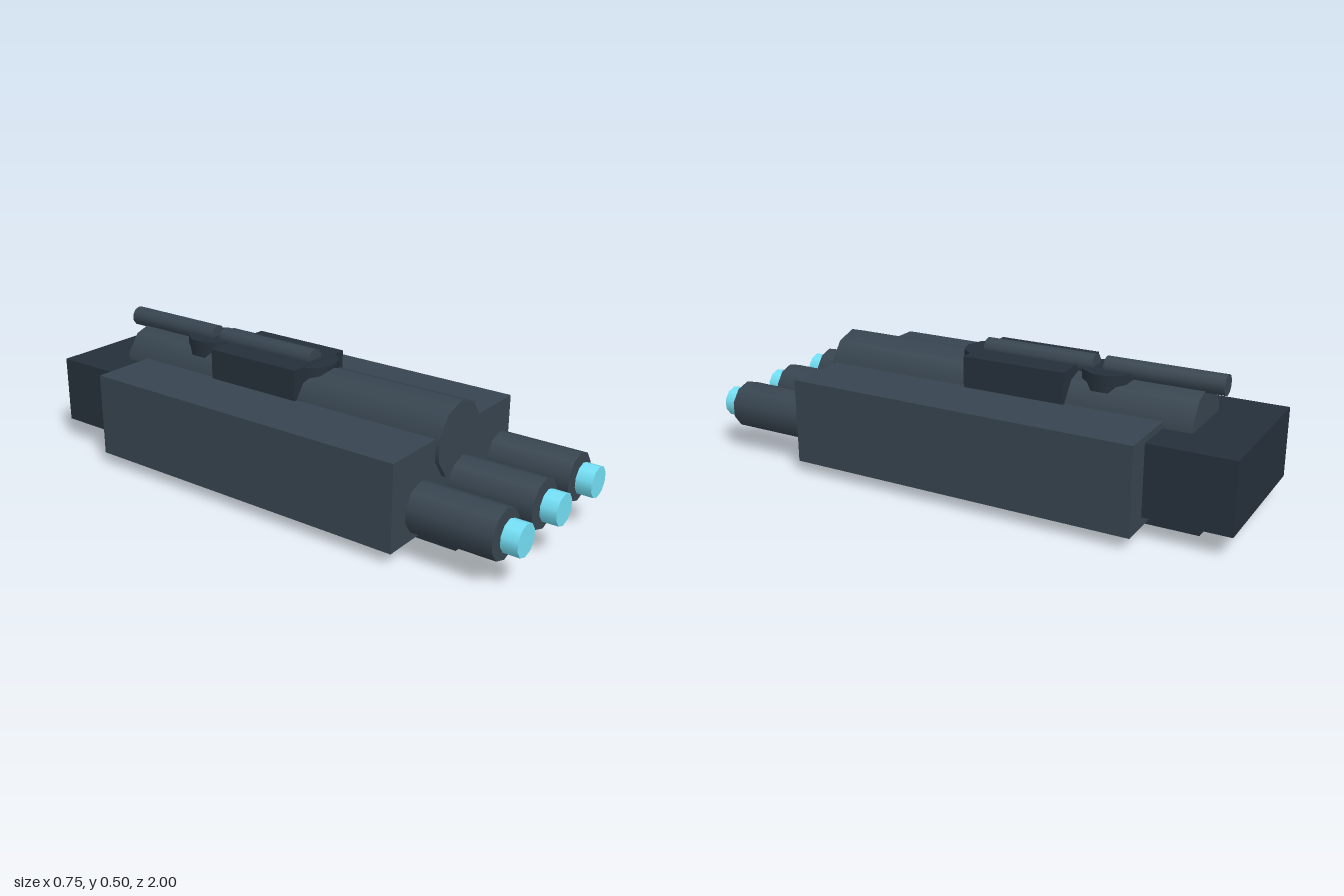
import * as THREE from 'three';

const slate = new THREE.MeshStandardMaterial({ color: 0x37444f });
const dark = new THREE.MeshStandardMaterial({ color: 0x25303a });
const cyan = new THREE.MeshStandardMaterial({ color: 0x74e0f6 });
const SIDES = 10;

export function createModel() {
  const model = new THREE.Group();
  model.name = 'spaceship';

  const add = (name, geometry, material) => {
    const mesh = new THREE.Mesh(geometry, material);
    mesh.name = name;
    model.add(mesh);
  };

  // Box given by half width and its y and z ranges
  const box = (name, halfWidth, [y0, y1], [z0, z1], material) =>
    add(name, new THREE.BoxGeometry(2 * halfWidth, y1 - y0, z1 - z0)
      .translate(0, (y0 + y1) / 2, (z0 + z1) / 2), material);

  // Ten-sided cylinder lying along z
  const tube = (name, r, x, y, [z0, z1], material) =>
    add(name, new THREE.CylinderGeometry(r, r, z1 - z0, SIDES)
      .rotateX(Math.PI / 2).translate(x, y, (z0 + z1) / 2), material);

  // Hull
  box('hull', 0.373, [0.045, 0.355], [-0.7, 0.6], slate);
  box('endBlock', 0.278, [0.08, 0.332], [-1, -0.69], dark);
  box('keel', 0.157, [0, 0.088], [-0.855, 0.71], dark);
  tube('spine', 0.135, 0, 0.317, [-0.8, 0.615], slate);

  // Thrusters with glowing nozzles
  for (const x of [-0.255, 0, 0.255]) {
    tube('thruster', 0.0875, x, 0.175, [0.628, 0.932], slate);
    tube('thrusterGlow', 0.056, x, 0.175, [0.942, 1], cyan);
  }

  // Upper housing
  box('upperHousing', 0.141, [0.345, 0.467], [-0.35, 0.035], dark);

  // Two turrets, each a round mount and a barrel
  for (const z of [0, -0.46]) {
    add('turretMount', new THREE.CylinderGeometry(0.1, 0.1, 0.085, SIDES)
      .translate(0, 0.4225, z), dark);
  }
  for (const z of [0.015, -0.445]) {
    tube('barrel', 0.037, 0, 0.468, [z - 0.42, z], slate);
  }

  return model;
}
